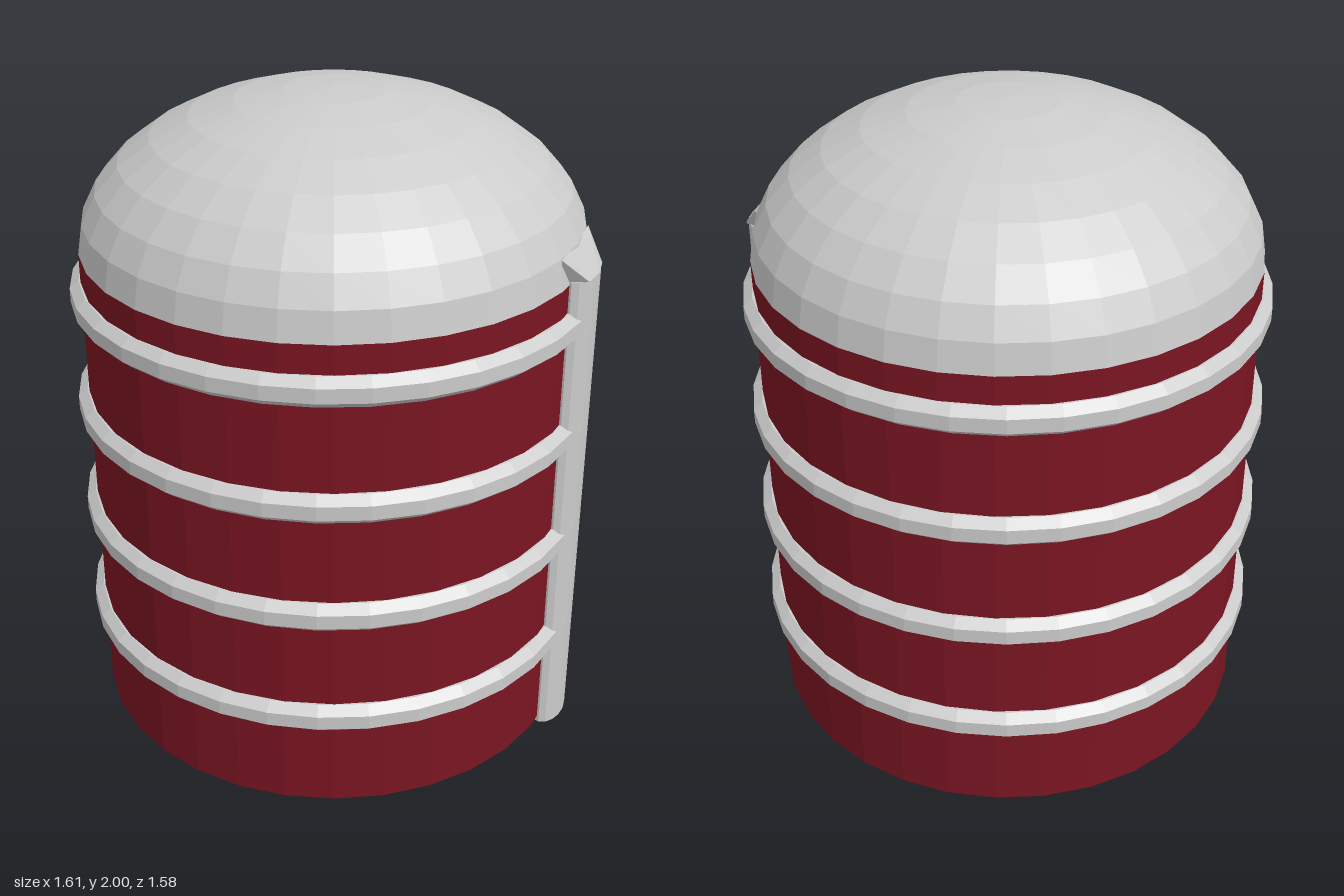
import * as THREE from 'three';
import { ConvexGeometry } from 'three/addons/geometries/ConvexGeometry.js';

const SIDES = 32, RADIUS = 0.76, CENTRE_X = -0.012;

export function createModel() {
  const model = new THREE.Group();
  const grey = new THREE.MeshStandardMaterial({ color: 0xcccccc, flatShading: true, side: THREE.DoubleSide });
  const red = new THREE.MeshStandardMaterial({ color: 0x7a1522, flatShading: true });

  const add = (name, geometry, material, x, y) => {
    const mesh = new THREE.Mesh(geometry, material);
    mesh.name = name;
    mesh.position.set(x, y, 0);
    model.add(mesh);
    return mesh;
  };

  // Cylindrical tank wall with closed floor
  add('tankBody', new THREE.CylinderGeometry(RADIUS, RADIUS, 1.52, SIDES), red, CENTRE_X, 0.78);

  // Elliptical domed roof
  const dome = [];
  for (let i = 0; i <= 8; i++) {
    const a = (i / 8) * Math.PI / 2;
    dome.push(new THREE.Vector2(RADIUS * Math.cos(a), 0.46 * Math.sin(a)));
  }
  dome[8].x = 0;
  add('domeRoof', new THREE.LatheGeometry(dome, SIDES), grey, CENTRE_X, 1.54);

  // Bevelled hoops, broken where the downpipe passes
  const hoop = [[0.75, -0.046], [0.765, -0.046], [0.793, -0.022], [0.793, 0.022], [0.765, 0.046], [0.75, 0.046]]
    .map(([r, y]) => new THREE.Vector2(r, y));
  const gap = 0.1;
  for (let i = 0; i < 4; i++) {
    add('hoop' + (i + 1),
      new THREE.LatheGeometry(hoop, SIDES, Math.PI / 2 + gap, Math.PI * 2 - 2 * gap),
      grey, CENTRE_X, 0.333 + i * 0.358);
  }

  // Flattened downpipe on the model's left side
  const pipe = add('downpipe', new THREE.CylinderGeometry(1, 1, 1.55, 16), grey, 0.745, 0.775);
  pipe.scale.set(0.055, 1, 0.097);

  // Sloping collector flaring from the pipe up to the roof
  const corners = [[0.8, 1.55, 0]];
  for (const s of [-1, 1]) {
    corners.push([0.725, 1.63, s * 0.145], [0.79, 1.55, s * 0.075], [0.71, 1.54, s * 0.1]);
  }
  add('collector', new ConvexGeometry(corners.map(p => new THREE.Vector3(...p))), grey, 0, 0);

  return model;
}
